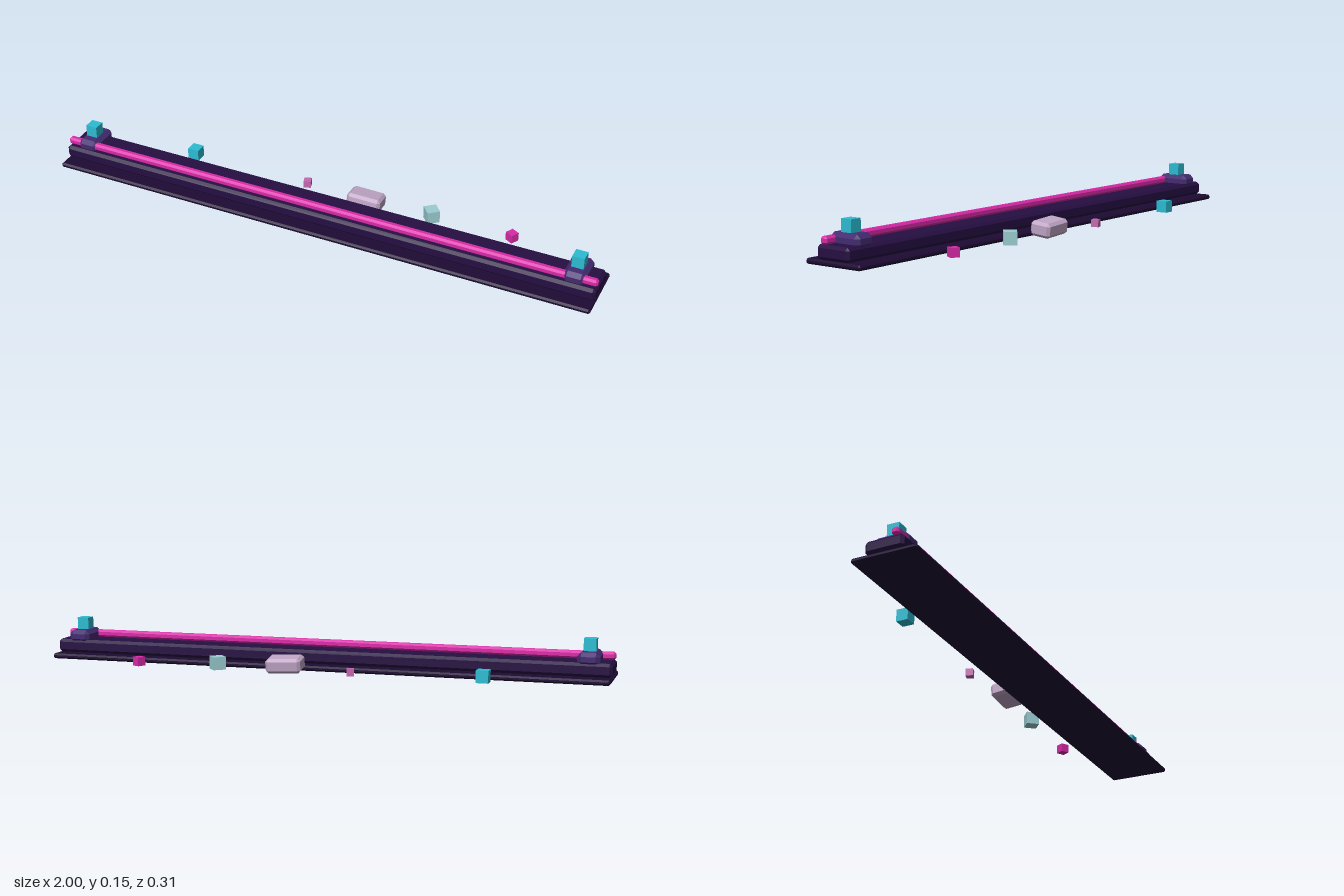
import * as THREE from 'three';
import { ConvexGeometry } from 'three/addons/geometries/ConvexGeometry.js';

function material(name, color) {
  const m = new THREE.MeshStandardMaterial({ color });
  m.name = name;
  return m;
}

// Box with every edge and corner cut flat by c
function chamferBox(w, h, d, c) {
  const x = w / 2, y = h / 2, z = d / 2, points = [];
  for (const sx of [-1, 1]) for (const sy of [-1, 1]) for (const sz of [-1, 1]) {
    points.push(
      new THREE.Vector3(sx * x, sy * (y - c), sz * (z - c)),
      new THREE.Vector3(sx * (x - c), sy * y, sz * (z - c)),
      new THREE.Vector3(sx * (x - c), sy * (y - c), sz * z));
  }
  return new ConvexGeometry(points);
}

export function createModel() {
  const model = new THREE.Group();
  model.name = 'barrier';

  const mats = {
    base: material('darkest purple', 0x1e0a34),
    beam: material('dark purple', 0x260e42),
    cap: material('violet', 0x432b70),
    magenta: material('magenta', 0xd92aa8),
    cyan: material('cyan', 0x2cbcd2),
    paleCyan: material('pale cyan', 0x9accd0),
    pink: material('dusty pink', 0xc468b0),
    mauve: material('mauve', 0xc0a6c6),
  };

  function add(name, geometry, mat, x, y, z) {
    const mesh = new THREE.Mesh(geometry, mat);
    mesh.name = name;
    mesh.position.set(x, y, z);
    model.add(mesh);
    return mesh;
  }

  // Long stepped body and its glowing rail
  add('basePlate', chamferBox(2, 0.018, 0.225, 0.006), mats.base, 0, 0.014, 0.04);
  add('beam', chamferBox(2, 0.047, 0.133, 0.01), mats.beam, 0, 0.0465, 0.0405);
  add('rail', chamferBox(2, 0.026, 0.026, 0.007), mats.magenta, 0, 0.083, 0.077);

  // End blocks with a light cube on each
  for (const side of [-1, 1]) {
    add('endBlock', chamferBox(0.076, 0.046, 0.122, 0.014), mats.cap, side * 0.92, 0.081, 0.035);
    add('lightCube', new THREE.BoxGeometry(0.042, 0.042, 0.042), mats.cyan, side * 0.92, 0.125, 0.036);
  }

  // Loose cubes behind the body: name, material, x, z, size, turn
  const cubes = [
    ['cyanCube', mats.cyan, -0.59, -0.119, 0.042, 0],
    ['pinkCube', mats.pink, -0.136, -0.125, 0.026, 0.3],
    ['paleCube', mats.paleCyan, 0.344, -0.121, 0.045, 0.7],
    ['magentaCube', mats.magenta, 0.637, -0.128, 0.031, -0.5],
  ];
  for (const [name, mat, x, z, size, turn] of cubes) {
    add(name, new THREE.BoxGeometry(size, size, size), mat, x, 0.005 + size / 2, z).rotation.y = turn;
  }

  // Tilted broken chunk
  const chunk = add('chunk', chamferBox(0.124, 0.052, 0.078, 0.01), mats.mauve, 0.104, 0.031, -0.101);
  chunk.rotation.set(-0.12, 0.05, -0.04);

  return model;
}
